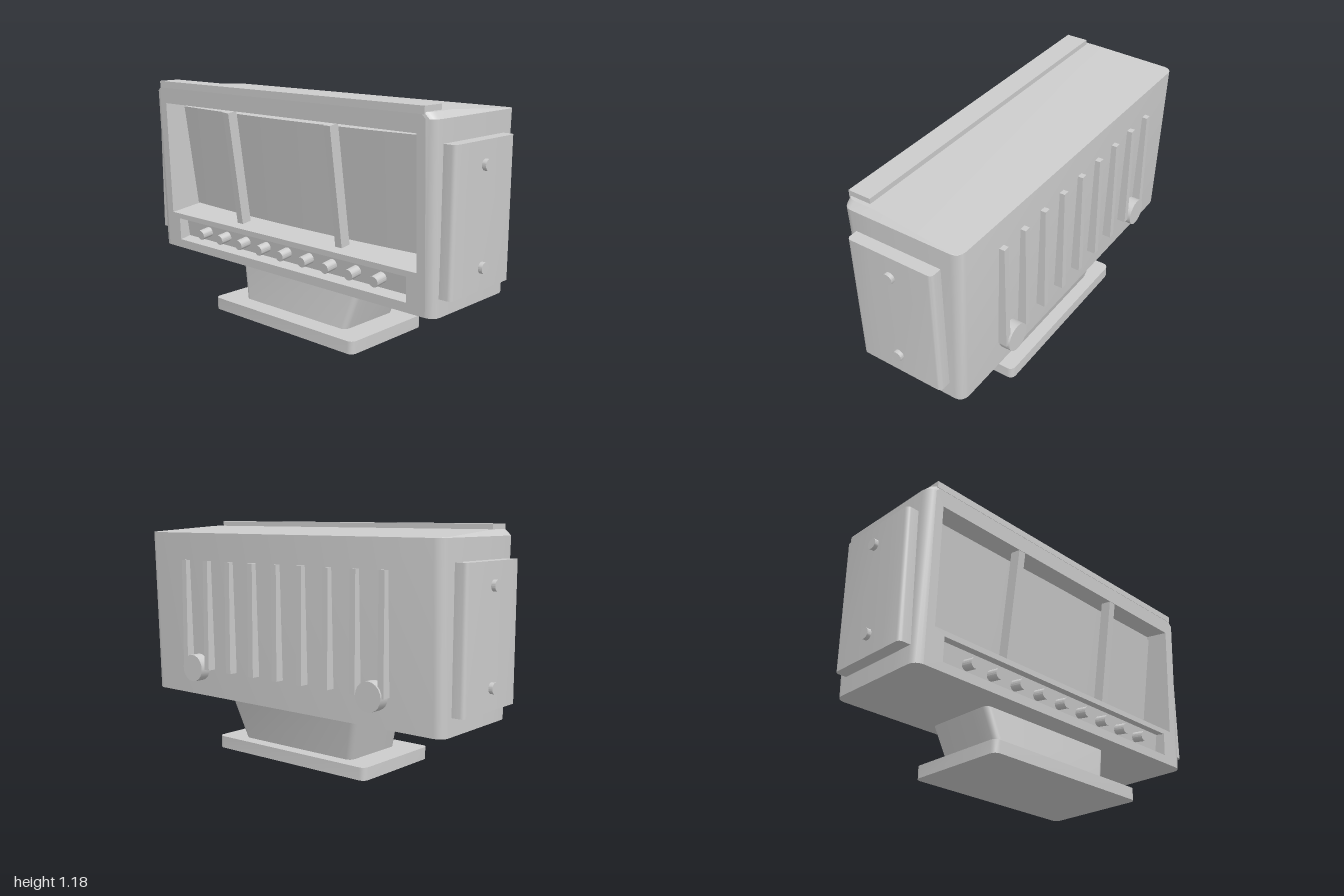
import * as THREE from 'three';
import { toCreasedNormals } from 'three/addons/utils/BufferGeometryUtils.js';

const frontZ = (y) => 0.285 + 0.0343 * (y - 0.275); // leaning front of the case

// Geometry from a list of four-cornered faces
function fromQuads(quads) {
  const pos = [];
  for (const [a, b, c, d] of quads) pos.push(...a, ...b, ...c, ...a, ...c, ...d);
  const geo = new THREE.BufferGeometry();
  geo.setAttribute('position', new THREE.Float32BufferAttribute(pos, 3));
  return toCreasedNormals(geo, 0.5);
}

// Right half of a rounded rectangle, front to back, then mirrored to a full ring
function ring(y, w, zf, zb, r, adjust = (p) => p) {
  const half = [];
  for (let i = 0; i <= 4; i++) {
    const a = (Math.PI / 2) * (1 - i / 4);
    half.push([w - r + r * Math.cos(a), y, zf - r + r * Math.sin(a)]);
  }
  half.push([w, y, zb + (zf - zb) * 0.74]);
  for (let i = 0; i <= 4; i++) {
    const a = (-Math.PI / 2) * (i / 4);
    half.push([w - r + r * Math.cos(a), y, zb + r + r * Math.sin(a)]);
  }
  const right = half.map(adjust);
  return [...right, ...right.map(([x, yy, z]) => [-x, yy, z]).reverse()];
}

// Skin over rings from bottom to top, with both ends capped
function loft(rings, openFront = false) {
  const quads = [];
  const n = rings[0].length;
  for (let k = 0; k < rings.length - 1; k++) {
    const lo = rings[k], hi = rings[k + 1];
    for (let i = 0; i < (openFront ? n - 1 : n); i++) {
      const j = (i + 1) % n;
      quads.push([lo[i], lo[j], hi[j], hi[i]]);
    }
  }
  const bottom = rings[0], top = rings[rings.length - 1];
  for (let i = 0; i < n / 2 - 1; i++) {
    const m = n - 1 - i;
    quads.push([top[m], top[i], top[i + 1], top[m - 1]]);
    quads.push([bottom[i], bottom[m], bottom[m - 1], bottom[i + 1]]);
  }
  return fromQuads(quads);
}

// Walls and back panel of a recess
function recess(outer, inner, backZ) {
  const corners = ([w, y0, y1], z) =>
    [[-w, y0], [w, y0], [w, y1], [-w, y1]].map(([x, y]) => [x, y, z(y)]);
  const o = corners(outer, frontZ), b = corners(inner, backZ);
  const quads = [b];
  for (let i = 0; i < 4; i++) {
    const j = (i + 1) % 4;
    quads.push([o[i], o[j], b[j], b[i]]);
  }
  return fromQuads(quads);
}

export function createModel() {
  const model = new THREE.Group();
  model.name = 'displayUnit';
  const grey = new THREE.MeshStandardMaterial({ color: 0xcccccc });
  grey.name = 'grey';

  const add = (name, geo, x = 0, y = 0, z = 0) => {
    const mesh = new THREE.Mesh(geo, grey);
    mesh.name = name;
    mesh.position.set(x, y, z);
    model.add(mesh);
    return mesh;
  };
  const disc = (r, h) => toCreasedNormals(new THREE.CylinderGeometry(r, r, h, 20), 0.5);

  // Foot and tapering, backward-leaning neck
  add('base', loft([ring(0, 0.48, 0.3, -0.225, 0.03), ring(0.062, 0.48, 0.3, -0.225, 0.03)]));
  add('neck', loft([
    ring(0.05, 0.345, 0.202, -0.157, 0.03),
    ring(0.285, 0.412, 0.168, -0.207, 0.03),
  ]));

  // Case: the top rises and narrows toward the front
  const rim = ([x, y, z]) => {
    const t = THREE.MathUtils.clamp((z + 0.292) / 0.445, 0, 1);
    return [x - 0.03 * t, 1.122 + 0.028 * t, z];
  };
  const r = 0.045;
  add('case', loft([
    ring(0.275, 0.92, frontZ(0.275), -0.264, r),
    ring(1.122, 0.92, frontZ(1.122), -0.292, r),
    ring(1.15, 0.92, frontZ(1.15), -0.292, r, rim),
  ], true));

  // Front face with the screen and control openings
  const face = new THREE.Shape([
    [-0.875, 0.275], [0.875, 0.275], [0.875, 1.122], [0.845, 1.15], [-0.845, 1.15], [-0.875, 1.122],
  ].map((p) => new THREE.Vector2(...p)));
  const opening = [0.83, 0.465, 1.06], slot = [0.775, 0.32, 0.438];
  for (const [w, y0, y1] of [opening, slot]) {
    face.holes.push(new THREE.Path([[-w, y0], [-w, y1], [w, y1], [w, y0]]
      .map((p) => new THREE.Vector2(...p))));
  }
  const faceGeo = new THREE.ShapeGeometry(face);
  const p = faceGeo.attributes.position;
  for (let i = 0; i < p.count; i++) p.setZ(i, frontZ(p.getY(i)));
  faceGeo.computeVertexNormals();
  add('frontFace', faceGeo);

  // Recesses cut square to the screen, which leans more than the case
  const tilt = 0.144;
  add('screenRecess', recess(opening, [0.83, 0.488, 1.08], (y) => 0.1 + tilt * (y - 0.488)));
  add('controlRecess', recess(slot, [0.775, 0.332, 0.446], (y) => 0.225 + tilt * (y - 0.332)));

  // Thick screen standing off the back of its recess, bulging slightly in the middle
  const screenGeo = new THREE.BoxGeometry(1.6, 0.545, 0.08, 16, 1, 1);
  const s = screenGeo.attributes.position;
  for (let i = 0; i < s.count; i++) {
    s.setZ(i, s.getZ(i) + 0.025 * (1 - (s.getX(i) / 0.8) ** 2));
  }
  add('screen', toCreasedNormals(screenGeo, 0.5), 0, 0.774, 0.136).rotation.x = tilt;

  // Screen dividers
  for (const x of [-0.34, 0.34]) {
    add('screenDivider', new THREE.BoxGeometry(0.04, 0.58, 0.055), x, 0.765, 0.254).rotation.x = tilt;
  }

  // Row of control buttons
  for (let i = -4; i <= 4; i++) {
    add('controlButton', disc(0.026, 0.09), i * 0.149, 0.382, 0.25).rotation.x = Math.PI / 2 + tilt;
  }

  // Strip along the top front edge
  add('topStrip', new THREE.BoxGeometry(1.74, 0.035, 0.116), 0, 1.158, 0.258);

  for (const sign of [-1, 1]) {
    // Side plate with two bolts
    const side = sign > 0 ? 'left' : 'right';
    const plate = loft([ring(0.36, 0.05, 0.25, -0.195, 0.02), ring(1.02, 0.05, 0.25, -0.195, 0.02)]);
    add(side + 'SidePlate', plate, sign * 0.93);
    for (const y of [0.464, 0.914]) {
      add(side + 'Bolt', disc(0.026, 0.06), sign * 0.97, y, 0.03).rotation.z = Math.PI / 2;
    }
    // Large round fastener at the back
    add(side + 'RearKnob', disc(0.07, 0.09), sign * 0.57, 0.424, -0.279).rotation.x = Math.PI / 2;
  }

  // Cooling ribs on the back
  for (let i = -4; i <= 4; i++) {
    add('rearRib', new THREE.BoxGeometry(0.032, 0.56, 0.062), i * 0.158, 0.702, -0.283);
  }
  return model;
}
